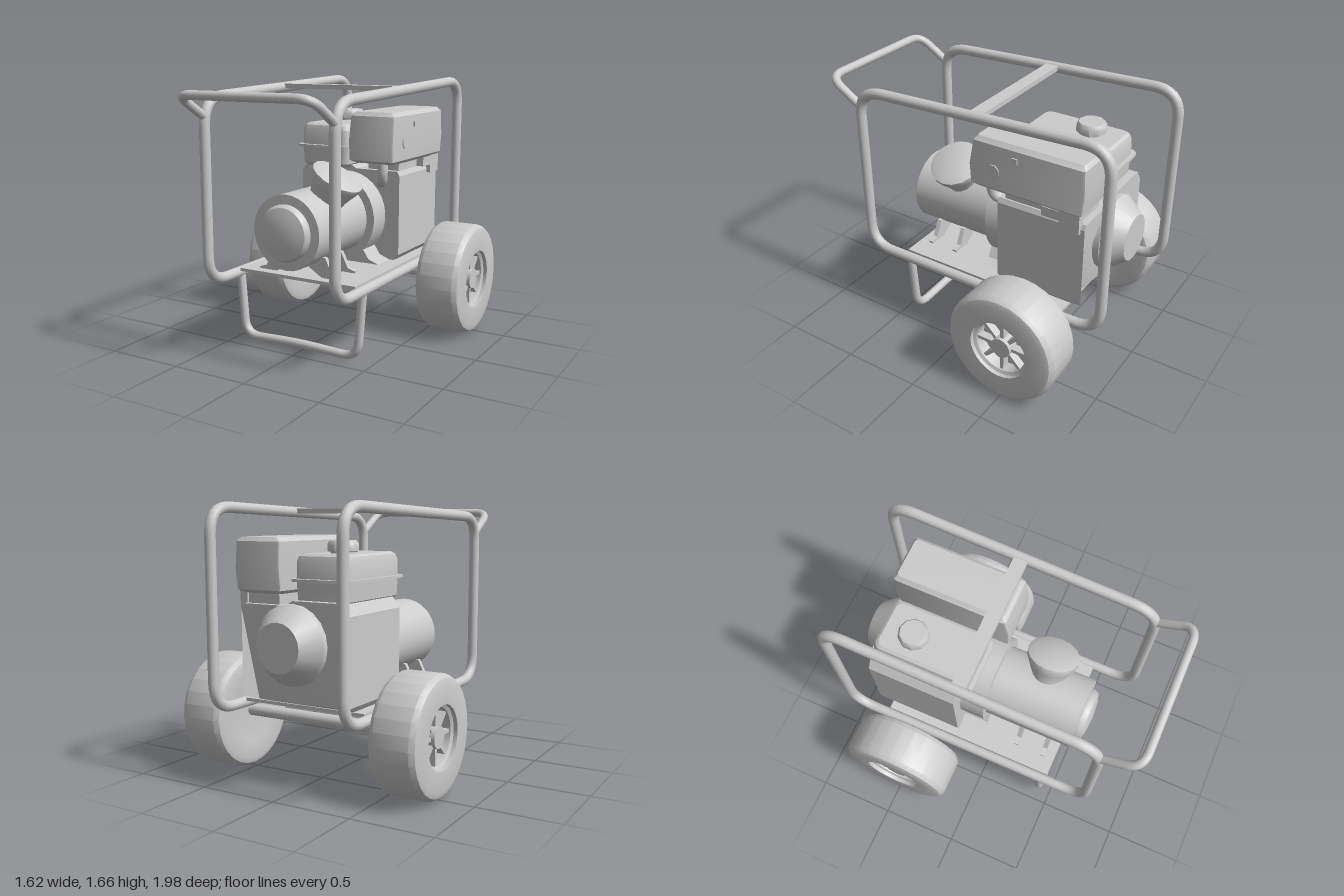
import * as THREE from 'three';
import { toCreasedNormals } from 'three/addons/utils/BufferGeometryUtils.js';

const grey = new THREE.MeshStandardMaterial({ color: 0xcccccc, side: THREE.DoubleSide });
const V = (x, y, z) => new THREE.Vector3(x, y, z);

function add(parent, name, geo, x = 0, y = 0, z = 0) {
  const m = new THREE.Mesh(geo, grey);
  m.name = name;
  m.position.set(x, y, z);
  parent.add(m);
  return m;
}
const crease = (geo, angle = 0.6) => toCreasedNormals(geo, angle);
const box = (w, h, d) => new THREE.BoxGeometry(w, h, d);
const lathe = (pts, n) => crease(new THREE.LatheGeometry(pts.map(p => new THREE.Vector2(...p)), n));

// Tube along straight runs joined by rounded corners
function pipe(points, bend, radius, segments, closed = false) {
  const path = new THREE.CurvePath();
  const n = points.length;
  const toward = (a, b) => a.clone().add(b.clone().sub(a).setLength(bend));
  let last = closed ? toward(points[0], points[1]) : points[0];
  for (let i = 1; i <= (closed ? n : n - 2); i++) {
    const p = points[i % n], a = toward(p, points[i - 1]), b = toward(p, points[(i + 1) % n]);
    path.add(new THREE.LineCurve3(last, a));
    path.add(new THREE.QuadraticBezierCurve3(a, p, b));
    last = b;
  }
  if (!closed) path.add(new THREE.LineCurve3(last, points[n - 1]));
  return new THREE.TubeGeometry(path, segments, radius, 12, closed);
}

// Stack of rounded rectangles: [y, x0, x1, z0, z1, corner radius]
function loft(sections, steps = 4) {
  const pos = [], idx = [], n = 4 * (steps + 1);
  for (const [y, x0, x1, z0, z1, r] of sections) {
    const corners = [[x1 - r, z1 - r], [x0 + r, z1 - r], [x0 + r, z0 + r], [x1 - r, z0 + r]];
    corners.forEach(([cx, cz], k) => {
      for (let i = 0; i <= steps; i++) {
        const a = (k + i / steps) * Math.PI / 2;
        pos.push(cx + r * Math.cos(a), y, cz + r * Math.sin(a));
      }
    });
  }
  const rows = sections.length;
  for (let s = 0; s < rows - 1; s++) for (let i = 0; i < n; i++) {
    const a = s * n + i, b = s * n + (i + 1) % n;
    idx.push(a, a + n, b, b, a + n, b + n);
  }
  for (let i = 1; i < n - 1; i++) {
    const t = (rows - 1) * n;
    idx.push(0, i, i + 1, t, t + i + 1, t + i);
  }
  const g = new THREE.BufferGeometry();
  g.setAttribute('position', new THREE.Float32BufferAttribute(pos, 3));
  g.setIndex(idx);
  return crease(g, 0.5);
}

// Outline in x and y pushed from z0 to z1
function slab(points, z0, z1) {
  const shape = new THREE.Shape(points.map(p => new THREE.Vector2(...p)));
  return crease(new THREE.ExtrudeGeometry(shape, { depth: z1 - z0, bevelEnabled: false }).translate(0, 0, z0), 0.4);
}

function wheel() {
  const g = new THREE.Group();
  g.name = 'wheel';
  const tyre = lathe([[0, -0.12], [0.2, -0.135], [0.31, -0.15], [0.34, -0.14], [0.36, -0.11], [0.36, 0.11],
    [0.34, 0.14], [0.31, 0.15], [0.19, 0.145], [0.19, 0.12], [0.17, 0.11], [0.165, 0.04], [0, 0.04]], 28);
  add(g, 'tyre', tyre.rotateZ(-Math.PI / 2));
  add(g, 'hub', new THREE.CylinderGeometry(0.065, 0.065, 0.08, 16).rotateZ(-Math.PI / 2), 0.08);
  for (let i = 0; i < 8; i++) {
    add(g, 'spoke', box(0.05, 0.125, 0.022).translate(0, 0.11, 0), 0.075).rotation.x = i * Math.PI / 4;
  }
  return g;
}

export function createModel() {
  const model = new THREE.Group();
  model.name = 'portableGenerator';

  // Tubular frame
  const frame = new THREE.Group();
  frame.name = 'frame';
  model.add(frame);
  for (const x of [-0.443, 0.443]) {
    add(frame, 'sideLoop', pipe([V(x, 0.46, -0.2), V(x, 0.46, 0.738), V(x, 1.575, 0.738), V(x, 1.64, -0.96),
      V(x, 0.46, -0.96)].slice(1), 0.17, 0.033, 160, true));
  }
  add(frame, 'handle', pipe([V(-0.443, 1.455, 0.72), V(-0.443, 1.605, 0.965), V(0.443, 1.605, 0.965),
    V(0.443, 1.455, 0.72)], 0.1, 0.027, 70));
  add(frame, 'frontLeg', pipe([V(-0.443, 0.46, 0.415), V(-0.41, 0.04, 0.415), V(0, 0.055, 0.415),
    V(0.41, 0.04, 0.415), V(0.443, 0.46, 0.415)], 0.11, 0.027, 90));
  add(frame, 'topStrap', box(0.84, 0.03, 0.085), 0, 1.615, -0.11);
  add(frame, 'basePlate', box(0.83, 0.02, 1.16), 0, 0.483, -0.12);

  // Axle and wheels
  add(model, 'axle', new THREE.CylinderGeometry(0.038, 0.038, 1.1, 16).rotateZ(Math.PI / 2), 0, 0.365, -0.495);
  for (const s of [-1, 1]) {
    const w = wheel();
    w.position.set(s * 0.66, 0.362, -0.495);
    if (s < 0) w.rotation.y = Math.PI;
    model.add(w);
  }

  // Engine block, undercut at the back, with recoil starter
  const engine = new THREE.Group();
  engine.name = 'engine';
  model.add(engine);
  const block = slab([[-0.34, 0.49], [-0.37, 0.53], [-0.37, 1.04], [-0.32, 1.11], [0, 1.11], [0.05, 1.08],
    [0.35, 1.08], [0.365, 1.05], [0.365, 0.53], [0.33, 0.49]], -0.79, -0.21);
  const p = block.attributes.position;
  for (let i = 0; i < p.count; i++) if (p.getY(i) < 0.5 && p.getZ(i) < -0.7) p.setZ(i, -0.68);
  add(engine, 'engineBlock', crease(block, 0.4));
  add(engine, 'recoilStarter', lathe([[0, 0], [0.235, 0], [0.235, 0.04], [0.145, 0.16], [0, 0.16]], 20)
    .rotateX(-Math.PI / 2), 0, 0.86, -0.78);

  // Bell housing: disc on a splayed foot
  const bell = [[-0.33, 0.49], [-0.25, 0.52], [-0.21, 0.58]];
  for (let i = 0; i <= 24; i++) {
    const a = Math.PI * (1.2 - 1.4 * i / 24);
    bell.push([-0.015 + 0.283 * Math.cos(a), 0.78 + 0.283 * Math.sin(a)]);
  }
  bell.push([0.19, 0.58], [0.23, 0.52], [0.31, 0.49]);
  add(engine, 'bellHousing', slab(bell, -0.22, -0.05));

  // Alternator with domed end
  add(model, 'alternator', lathe([[0, -0.06], [0.233, -0.06], [0.233, 0.53], [0.175, 0.532], [0.175, 0.55],
    [0.16, 0.575], [0.11, 0.59], [0, 0.6]], 32).rotateX(Math.PI / 2), -0.018, 0.778, 0);

  // Alternator feet
  for (const z of [0.19, 0.38]) for (const s of [-1, 1]) {
    const leg = [[0.06, 0.56], [0.17, 0.49], [0.29, 0.49], [0.29, 0.505], [0.24, 0.52], [0.19, 0.62], [0.1, 0.62]];
    add(model, 'alternatorFoot', slab(leg.map(([x, y]) => [s * x - 0.018, y]), z - 0.015, z + 0.015));
  }

  // Tilted intake with broad cap
  const intake = add(model, 'intake', lathe([[0, -0.3], [0.105, -0.3], [0.115, -0.14], [0.145, -0.07],
    [0.167, -0.02], [0.167, 0.005], [0.13, 0.02], [0, 0.03]], 16), 0.165, 1.09, 0.235);
  intake.rotation.z = -Math.PI / 6;

  // Fuel tank with seam flange, cap and tap
  const tank = new THREE.Group();
  tank.name = 'fuelTank';
  model.add(tank);
  const ring = (y, d, r) => [y, -0.335 + d, 0.025 - d, -0.745 + d, -0.13 - d, r];
  add(tank, 'tankBody', loft([ring(1.085, 0.03, 0.04), ring(1.11, 0.005, 0.05), ring(1.215, 0, 0.05),
    ring(1.216, -0.025, 0.06), ring(1.232, -0.025, 0.06), ring(1.233, 0, 0.05), ring(1.33, 0.002, 0.05),
    ring(1.36, 0.012, 0.05), ring(1.372, 0.03, 0.04)]));
  add(tank, 'fillerCap', lathe([[0, 0], [0.075, 0], [0.075, 0.015], [0.093, 0.02], [0.093, 0.06], [0.08, 0.08],
    [0, 0.08]], 10), -0.175, 1.365, -0.53);
  add(tank, 'fuelTap', new THREE.CylinderGeometry(0.014, 0.014, 0.1, 8), -0.27, 1.05, -0.17);
  add(tank, 'fuelTapBody', box(0.04, 0.03, 0.04), -0.27, 1.06, -0.18);

  // Muffler with outlet, side details, rear shield and exhaust pipe
  const muffler = new THREE.Group();
  muffler.name = 'muffler';
  model.add(muffler);
  add(muffler, 'mufflerBody', loft([[1.14, 0.11, 0.385, -0.76, -0.08, 0.02], [1.16, 0.085, 0.403, -0.785, -0.04, 0.02],
    [1.28, 0.083, 0.405, -0.8, -0.033, 0.02], [1.44, 0.085, 0.4, -0.792, -0.06, 0.02],
    [1.465, 0.11, 0.375, -0.775, -0.08, 0.02]], 2));
  add(muffler, 'outlet', new THREE.CylinderGeometry(0.043, 0.043, 0.02, 8).rotateZ(Math.PI / 2).rotateX(Math.PI / 8),
    0.402, 1.275, -0.205);
  add(muffler, 'sideBolt', box(0.02, 0.035, 0.035), 0.4, 1.38, -0.35);
  add(muffler, 'rearShield', box(0.05, 0.14, 0.13), 0.365, 1.095, -0.7);
  add(muffler, 'shieldTab', box(0.05, 0.06, 0.12), 0.365, 1.11, -0.58);
  add(muffler, 'mufflerMount', box(0.22, 0.08, 0.5), 0.23, 1.11, -0.5);
  add(muffler, 'exhaustPipe', pipe([V(0.29, 1.17, -0.12), V(0.29, 1.02, -0.12), V(0.2, 0.99, -0.26)],
    0.08, 0.033, 24));

  return model;
}
